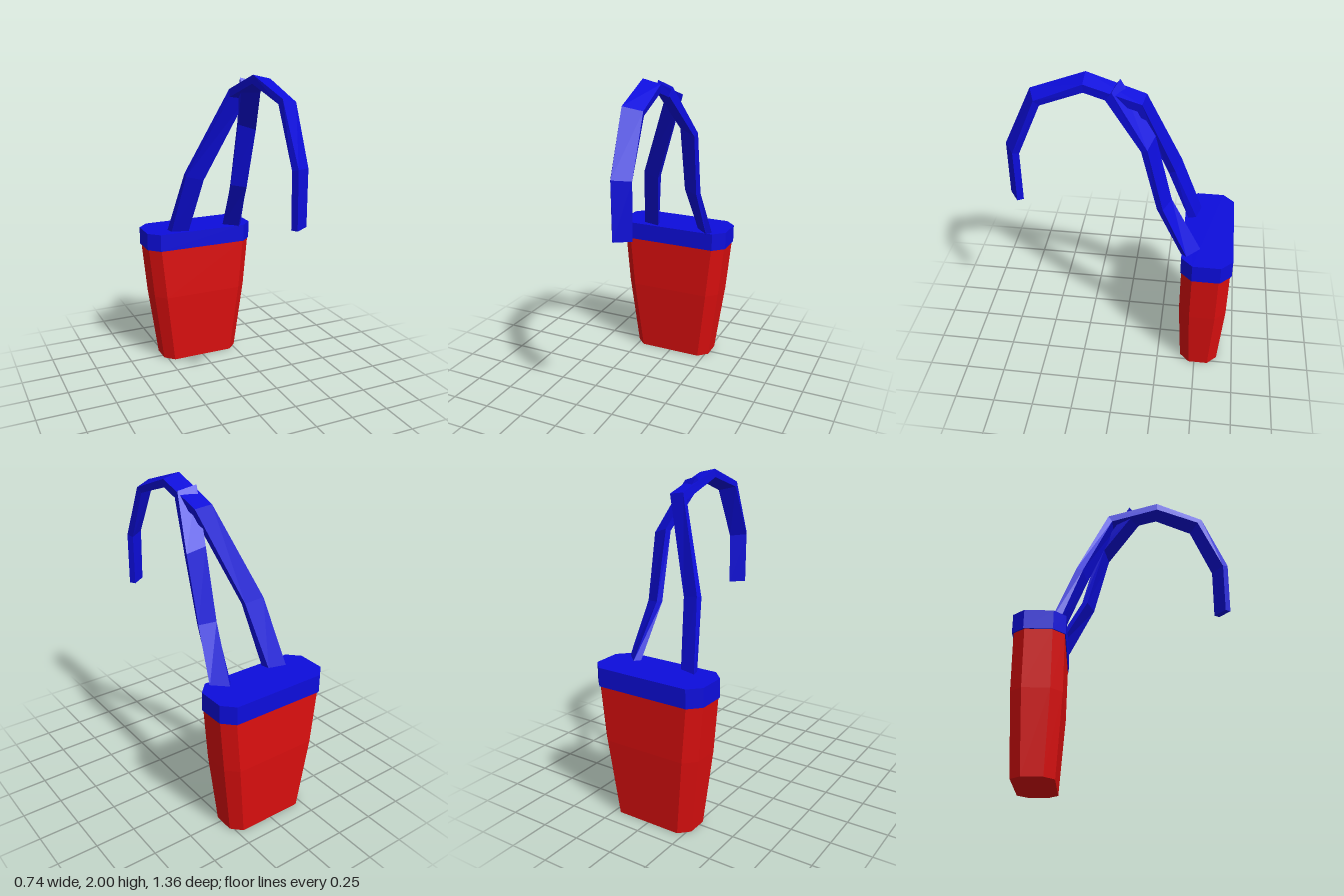
import * as THREE from 'three';

// Skin a list of equal-sized rings (counter-clockwise about the travel direction) and cap both ends
function loft(rings) {
  const pos = [];
  const tri = (a, b, c) => pos.push(...a, ...b, ...c);
  const n = rings[0].length;
  for (let i = 0; i < rings.length - 1; i++) {
    for (let j = 0; j < n; j++) {
      const k = (j + 1) % n, r = rings[i], s = rings[i + 1];
      tri(r[j], r[k], s[k]);
      tri(r[j], s[k], s[j]);
    }
  }
  const first = rings[0], last = rings[rings.length - 1];
  for (let j = 1; j < n - 1; j++) {
    tri(first[0], first[j + 1], first[j]);
    tri(last[0], last[j], last[j + 1]);
  }
  const g = new THREE.BufferGeometry();
  g.setAttribute('position', new THREE.Float32BufferAttribute(pos, 3));
  g.computeVertexNormals();
  return g;
}

// Chamfered rectangle at height y, centred on z = cz
function octagon(y, hx, hz, c, cz = -0.525) {
  const p = [[hx, hz - c], [hx, c - hz], [hx - c, -hz], [c - hx, -hz],
    [-hx, c - hz], [-hx, hz - c], [c - hx, hz], [hx - c, hz]];
  return p.map(([x, z]) => [x, y, cz + z]);
}

// Strap from stations: outer left edge, outer right edge, offset to the inner face
function strap(stations) {
  const add = (p, q) => p.map((v, i) => v + q[i]);
  return loft(stations.map(([a, b, n]) => [a, b, add(b, n), add(a, n)]));
}

export function createModel() {
  const red = new THREE.MeshStandardMaterial({ color: 0xdc0f0f });
  red.name = 'red';
  const blue = new THREE.MeshStandardMaterial({ color: 0x0d0ddc });
  blue.name = 'blue';
  const model = new THREE.Group();
  model.name = 'strappedCase';
  const part = (name, geometry, material) => {
    const mesh = new THREE.Mesh(geometry, material);
    mesh.name = name;
    model.add(mesh);
  };

  // Tapered container
  part('body', loft([
    octagon(0, 0.27, 0.122, 0.06),
    octagon(0.48, 0.332, 0.147, 0.067),
    octagon(0.82, 0.364, 0.147, 0.067),
  ]), red);

  // Lid
  part('lid', loft([
    octagon(0.82, 0.372, 0.154, 0.07, -0.527),
    octagon(0.935, 0.372, 0.154, 0.07, -0.527),
  ]), blue);

  // Long strap: hanging end, over the arch, down to the right of the lid
  part('longStrap', strap([
    [[0.12, 1.2, 0.68], [0.21, 1.2, 0.62], [-0.02, 0, -0.035]],
    [[0.115, 1.54, 0.68], [0.21, 1.53, 0.62], [-0.02, -0.01, -0.035]],
    [[0.1, 1.895, 0.515], [0.205, 1.87, 0.475], [-0.01, -0.03, -0.03]],
    [[0.075, 2, 0.205], [0.185, 1.975, 0.205], [-0.005, -0.05, 0]],
    [[0.08, 1.89, -0.13], [0.185, 1.875, -0.115], [-0.008, -0.045, 0.025]],
    [[-0.145, 1.345, -0.33], [-0.035, 1.32, -0.3], [-0.005, -0.015, 0.04]],
    [[-0.22, 0.93, -0.475], [-0.11, 0.93, -0.445], [0.012, 0, 0.05]],
  ]), blue);

  // Short strap: from the arch down to the left of the lid
  part('shortStrap', strap([
    [[0.083, 1.97, 0.015], [0.19, 1.94, 0.05], [-0.005, -0.05, 0.035]],
    [[0.165, 1.68, -0.19], [0.27, 1.645, -0.155], [-0.01, -0.015, 0.035]],
    [[0.165, 1.26, -0.295], [0.26, 1.245, -0.25], [-0.015, -0.005, 0.035]],
    [[0.205, 0.93, -0.485], [0.29, 0.93, -0.405], [-0.03, 0, 0.035]],
  ]), blue);

  return model;
}
